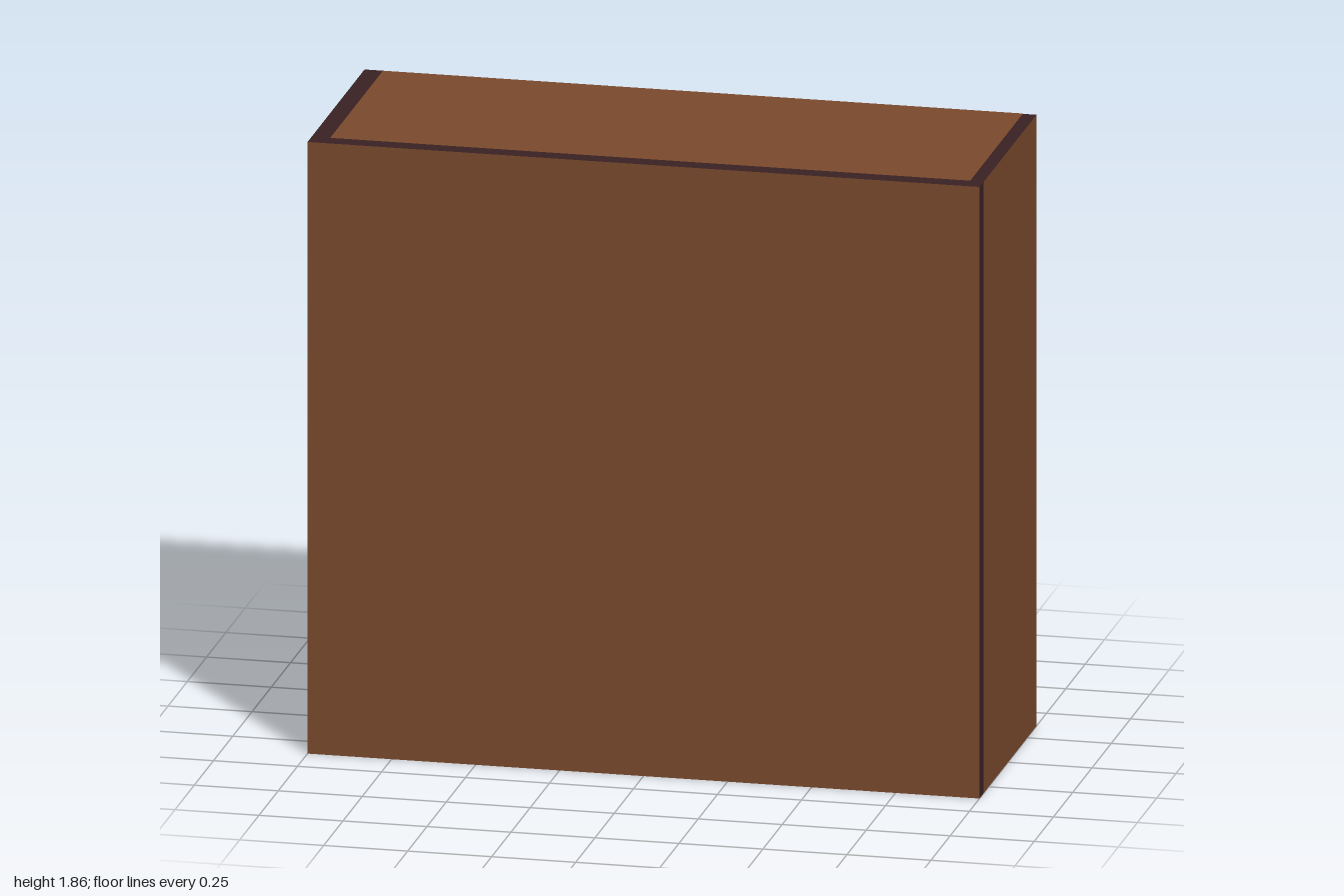
import * as THREE from 'three';

export function createModel() {
  const group = new THREE.Group();
  group.name = 'cubbyShelf';

  const wood = new THREE.MeshStandardMaterial({ color: 0x7c4a2d });
  wood.name = 'brown wood';
  const edge = new THREE.MeshStandardMaterial({ color: 0x3a2224 });
  edge.name = 'dark edge band';

  // A board: its two broad faces are wood, its four narrow faces are edge banded
  function board(name, [x0, x1], [y0, y1], [z0, z1]) {
    const size = [x1 - x0, y1 - y0, z1 - z0];
    const thin = size.indexOf(Math.min(...size));
    const materials = [0, 0, 1, 1, 2, 2].map(axis => (axis === thin ? wood : edge));
    const mesh = new THREE.Mesh(new THREE.BoxGeometry(...size), materials);
    mesh.position.set((x0 + x1) / 2, (y0 + y1) / 2, (z0 + z1) / 2);
    mesh.name = name;
    group.add(mesh);
  }

  const height = 1.855, back = -0.37, inner = 0.315;
  const depth = [back, inner];

  // Closed panel across the front
  board('closedPanel', [-1, 1], [0, height], [inner, 0.37]);

  // Sides and top
  board('rightSide', [-1, -0.945], [0, height], depth);
  board('leftSide', [0.945, 1], [0, height - 0.001], depth);
  board('topPanel', [-0.945, 0.96], [height - 0.055, height], depth);

  // Upright dividers, reaching the floor
  const dividers = [[-0.376, -0.32], [0.255, 0.313]];
  dividers.forEach(x => board('divider', x, [0, height - 0.055], depth));

  // Shelves in each bay; the lowest sits just off the floor
  const bays = [[-0.945, dividers[0][0]], [dividers[0][1], dividers[1][0]], [dividers[1][1], 0.945]];
  const shelves = [[0.012, 0.062], [0.575, 0.63], [1.19, 1.245]];
  for (const bay of bays) {
    shelves.forEach((y, i) => board(i ? 'shelf' : 'bottomShelf', bay, y, depth));
  }

  return group;
}
